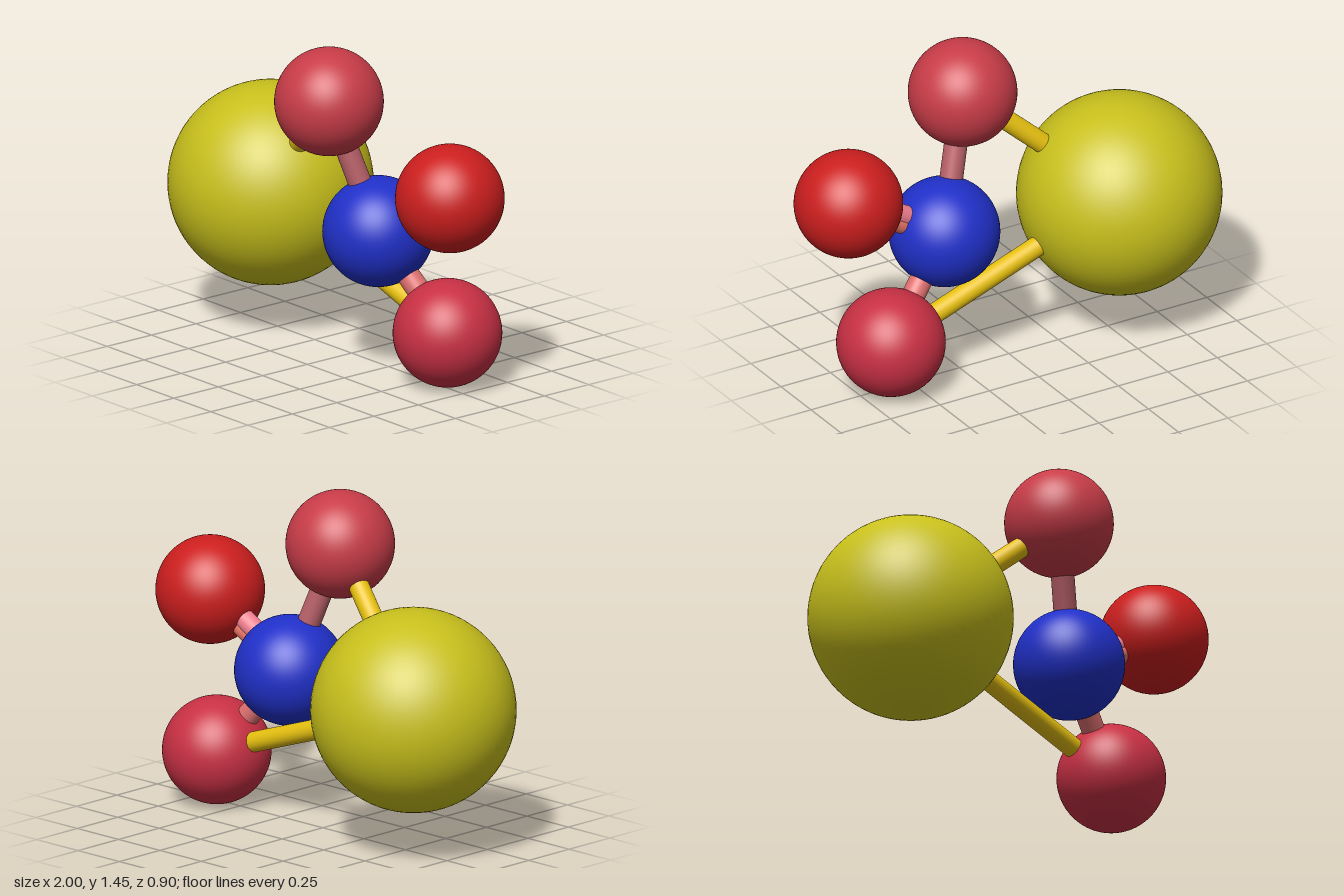
import * as THREE from 'three';

const v = (x, y, z) => new THREE.Vector3(x, y, z);
const UP = v(0, 1, 0);

// Balls: centre, radius, colour
const BALLS = {
  largeYellowBall: { at: v(-0.554, 0.643, -0.006), r: 0.446, color: 0xc8c01c },
  centreBlueBall: { at: v(0.277, 0.642, 0.081), r: 0.242, color: 0x2030c8 },
  upperPinkBall: { at: v(0.104, 1.215, 0.214), r: 0.237, color: 0xc83c48 },
  lowerPinkBall: { at: v(0.613, 0.241, -0.028), r: 0.237, color: 0xc83044 },
  redBall: { at: v(0.761, 0.909, 0.082), r: 0.237, color: 0xcc1e1e },
};

// Rods: name, the two balls joined, radius, colour, sideways offset
const RODS = [
  ['upperYellowRod', 'largeYellowBall', 'upperPinkBall', 0.045, 0xe6c010, 0],
  ['lowerYellowRod', 'largeYellowBall', 'lowerPinkBall', 0.045, 0xe6c010, 0],
  ['upperPinkRod', 'centreBlueBall', 'upperPinkBall', 0.051, 0xb86068, 0],
  ['lowerPinkRod', 'centreBlueBall', 'lowerPinkBall', 0.051, 0xe07070, 0],
  ['doubleRodUpper', 'centreBlueBall', 'redBall', 0.046, 0xf08090, 0.018],
  ['doubleRodLower', 'centreBlueBall', 'redBall', 0.046, 0xf07868, -0.018],
];

function addMesh(group, name, geometry, color) {
  const mesh = new THREE.Mesh(geometry, new THREE.MeshStandardMaterial({ color }));
  mesh.name = name;
  group.add(mesh);
  return mesh;
}

export function createModel() {
  const group = new THREE.Group();
  group.name = 'ballAndStickModel';

  for (const [name, { at, r, color }] of Object.entries(BALLS)) {
    addMesh(group, name, new THREE.SphereGeometry(r, 64, 40), color).position.copy(at);
  }

  // Each rod runs from centre to centre; the paired rods sit side by side
  for (const [name, from, to, r, color, offset] of RODS) {
    const a = BALLS[from].at, b = BALLS[to].at;
    const dir = b.clone().sub(a);
    const rod = addMesh(group, name, new THREE.CylinderGeometry(r, r, dir.length(), 32), color);
    dir.normalize();
    const side = UP.clone().addScaledVector(dir, -dir.y).normalize();
    rod.position.copy(a).add(b).multiplyScalar(0.5).addScaledVector(side, offset);
    rod.quaternion.setFromUnitVectors(UP, dir);
  }
  return group;
}
